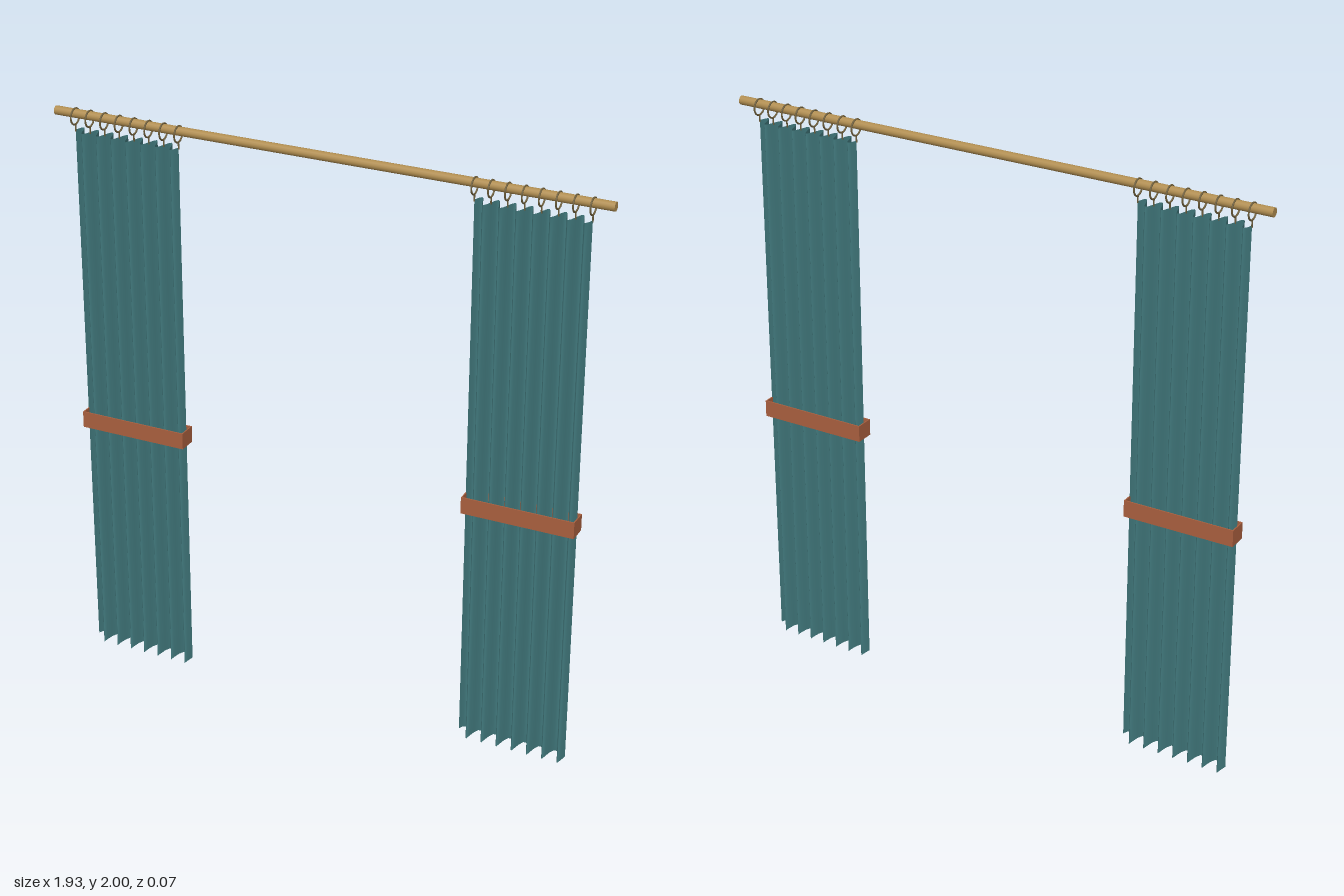
import * as THREE from 'three';

const material = (name, color, side = THREE.FrontSide) => {
  const m = new THREE.MeshStandardMaterial({ color, side });
  m.name = name;
  return m;
};

const PLEATS = 7, WIDTH = 0.382, TOP = 1.925, DEPTH = 0.03;

// Pleated cloth: a plane folded into a wave, slightly flared at a scalloped hem
function clothGeometry() {
  const geo = new THREE.PlaneGeometry(WIDTH, TOP, PLEATS * 8, 18);
  const pos = geo.attributes.position;
  for (let i = 0; i < pos.count; i++) {
    const angle = (pos.getX(i) / WIDTH + 0.5) * PLEATS * Math.PI * 2;
    const y = pos.getY(i) + TOP / 2;
    const depth = y < 0.1 ? DEPTH + 0.002 : DEPTH;
    pos.setZ(i, -depth * Math.sin(angle));
    pos.setY(i, y < 0.01 ? 0.009 * (1 + Math.cos(angle)) : y);
  }
  geo.computeVertexNormals();
  return geo;
}

export function createModel() {
  const group = new THREE.Group();
  const wood = material('golden wood', 0xb08d50);
  const metal = material('dark brass', 0x6f5f3c);
  const cloth = material('teal cloth', 0x427a7e, THREE.DoubleSide);
  const strap = material('rust strap', 0xa95f3e);

  const add = (parent, name, geo, mat, x = 0, y = 0, z = 0) => {
    const mesh = new THREE.Mesh(geo, mat);
    mesh.name = name;
    mesh.position.set(x, y, z);
    parent.add(mesh);
    return mesh;
  };

  // Rod
  const rodGeo = new THREE.CylinderGeometry(0.015, 0.015, 1.93, 16).rotateZ(Math.PI / 2);
  add(group, 'rod', rodGeo, wood, 0, 1.981, 0);

  const clothGeo = clothGeometry();
  const ringGeo = new THREE.TorusGeometry(0.027, 0.003, 8, 24).rotateY(Math.PI / 2);
  const clipGeo = new THREE.CylinderGeometry(0.0025, 0.0025, 0.024, 6);

  // Tieback: four thin plates forming an open loop
  const w = WIDTH + 0.006, d = 0.066, t = 0.004;
  const frontPlate = new THREE.BoxGeometry(w, 0.058, t);
  const endPlate = new THREE.BoxGeometry(t, 0.058, d - 2 * t);

  for (const side of [-1, 1]) {
    const panel = new THREE.Group();
    panel.name = side > 0 ? 'leftCurtain' : 'rightCurtain';
    panel.position.x = side * 0.703;
    group.add(panel);

    add(panel, 'pleatedCloth', clothGeo, cloth);

    const tie = new THREE.Group();
    tie.name = 'tieback';
    tie.position.y = 0.888;
    panel.add(tie);
    for (const s of [-1, 1]) {
      add(tie, 'tiebackFace', frontPlate, strap, 0, 0, s * (d - t) / 2);
      add(tie, 'tiebackEnd', endPlate, strap, s * (w - t) / 2, 0, 0);
    }

    // Rings and clips, one at each pleat boundary
    for (let i = 0; i <= PLEATS; i++) {
      const x = (i / PLEATS - 0.5) * WIDTH;
      add(panel, 'ring', ringGeo, metal, x, 1.97, 0);
      add(panel, 'ringClip', clipGeo, metal, x, 1.931, 0);
    }
  }
  return group;
}
